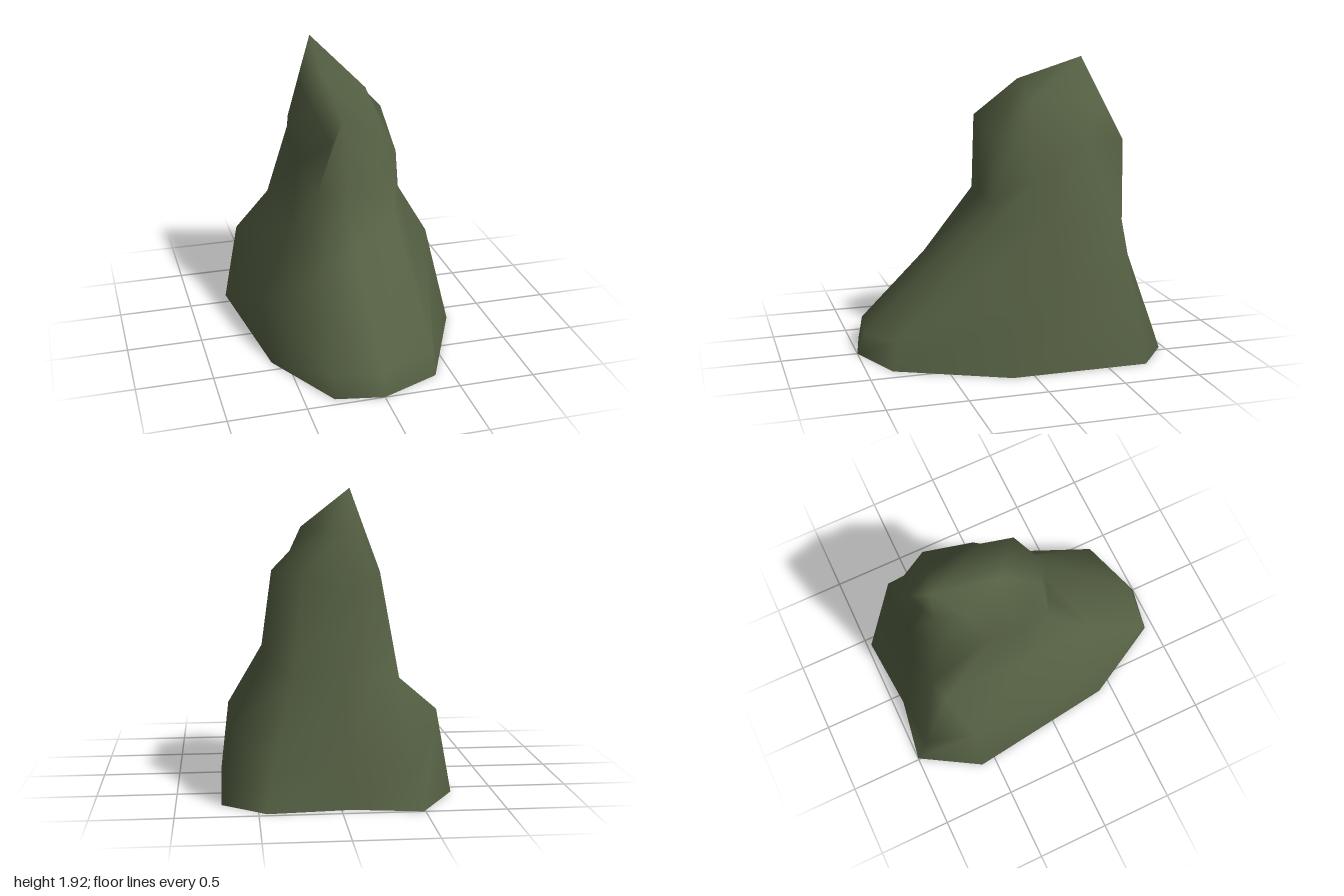
import * as THREE from 'three';

// Cross-sections from the ground up; each runs front -> left (+x) -> back -> right.
const RINGS = [
  [[0, 0, 1], [.39, 0, .84], [.72, 0, .14], [.72, 0, -.76], [.45, 0, -.97],
    [-.06, 0, -.93], [-.49, 0, -1], [-.73, 0, -.6], [-.6, 0, .41], [-.31, 0, .94]],
  [[0, .13, .95], [.375, .19, .81], [.67, .53, -.22], [.66, .47, -.69], [.42, .22, -.9],
    [-.05, .3, -.85], [-.46, .22, -.91], [-.63, .54, -.6], [-.6, .3, .12], [-.32, .15, .91]],
  [[-.02, .7, .36], [.3, .85, .19], [.45, .9, -.2], [.45, .9, -.68], [.28, .78, -.74],
    [0, .74, -.75], [-.22, .73, -.72], [-.38, .76, -.685], [-.36, .72, -.05], [-.31, .59, .47]],
  [[-.01, 1.04, .15], [.21, 1.02, .13], [.4, 1.2, -.11], [.395, 1.41, -.46], [.22, 1.39, -.77],
    [-.01, 1.3, -.73], [-.23, 1.34, -.63], [-.31, 1.38, -.3], [-.29, 1.2, -.08], [-.22, 1.04, .15]],
  [[-.05, 1.56, .18], [.24, 1.4, .11], [.19, 1.66, -.14], [.16, 1.66, -.5], [.07, 1.655, -.675],
    [-.04, 1.65, -.64], [-.14, 1.69, -.6], [-.2, 1.64, -.42], [-.18, 1.55, -.13], [-.11, 1.38, .14]],
];
const SIDES = 10;
// Sloping top ridge: front shoulder and rear peak
const RIDGE = [[-.11, 1.78, -.14], [-.08, 1.92, -.58]];

function rockGeometry() {
  const positions = [...RINGS, RIDGE].flat(2);
  const index = [];
  const id = (ring, side) => {
    const s = side % SIDES;
    if (ring < RINGS.length) return ring * SIDES + s;
    return RINGS.length * SIDES + (s >= 3 && s <= 7 ? 1 : 0);
  };
  for (let r = 0; r < RINGS.length; r++) {
    for (let s = 0; s < SIDES; s++) {
      const a = id(r, s), b = id(r, s + 1), c = id(r + 1, s + 1), d = id(r + 1, s);
      index.push(a, b, c);
      if (c !== d) index.push(a, c, d); // the ridge shares its points
    }
  }
  const geometry = new THREE.BufferGeometry();
  geometry.setAttribute('position', new THREE.Float32BufferAttribute(positions, 3));
  geometry.setIndex(index);
  geometry.computeVertexNormals();
  return geometry;
}

export function createModel() {
  const group = new THREE.Group();
  group.name = 'rock';
  // Hollow shell, open underneath
  const mossGreen = new THREE.MeshStandardMaterial({ color: 0x556043, side: THREE.DoubleSide });
  mossGreen.name = 'mossGreen';
  const shell = new THREE.Mesh(rockGeometry(), mossGreen);
  shell.name = 'rockShell';
  group.add(shell);
  return group;
}
